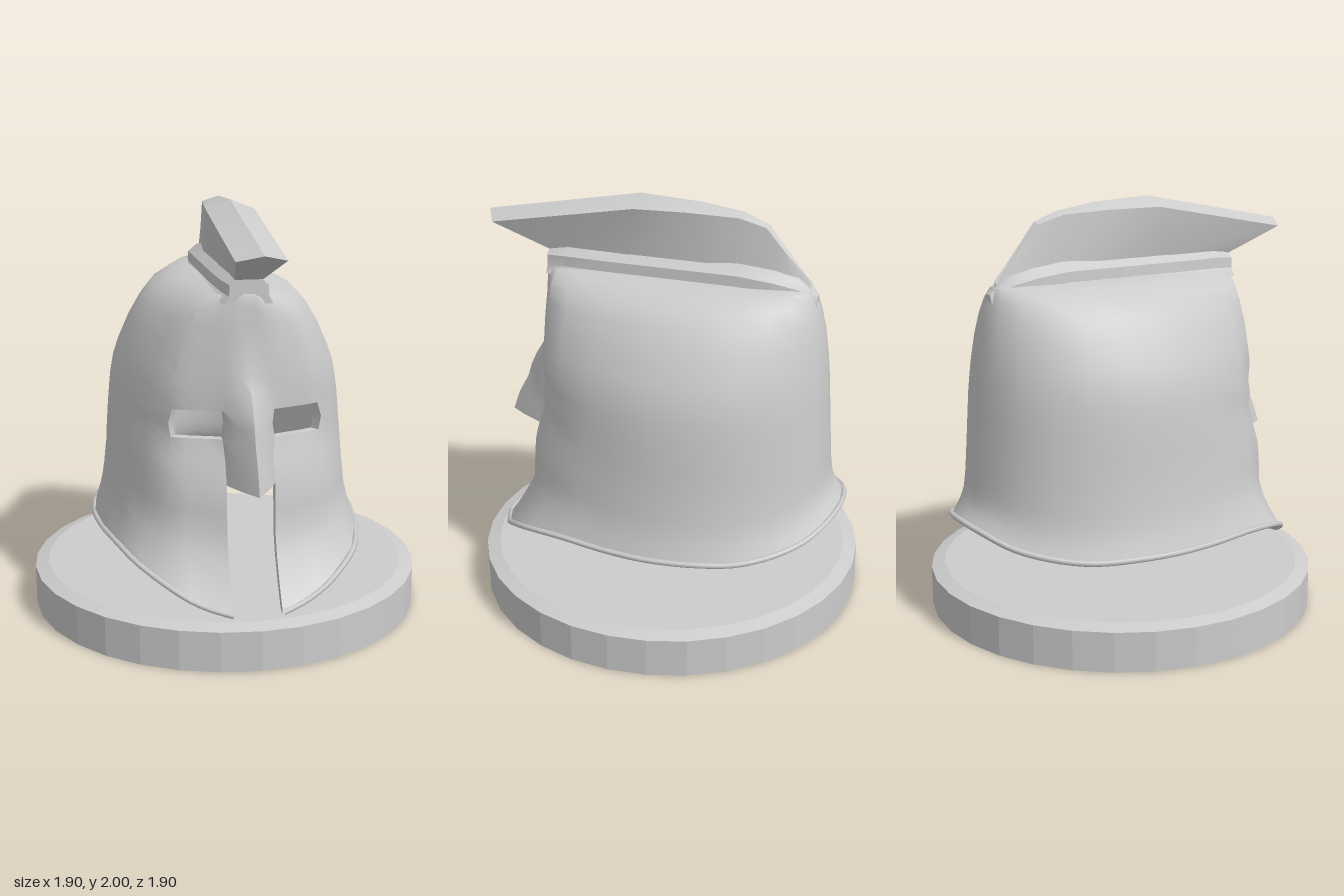
import * as THREE from 'three';
import { toCreasedNormals } from 'three/addons/utils/BufferGeometryUtils.js';

const D = 0.045; // wall thickness
// Shell rows from top to bottom: height, half width, front z, back z, nose depth
const ROWS = [
  [1.64, 0, 0.59, -0.66, 0], [1.635, 0.11, 0.6, -0.67, 0], [1.62, 0.22, 0.605, -0.69, 0],
  [1.57, 0.33, 0.61, -0.71, 0], [1.5, 0.395, 0.61, -0.73, 0], [1.4, 0.455, 0.615, -0.75, 0.005],
  [1.28, 0.51, 0.615, -0.765, 0.02], [1.2, 0.538, 0.615, -0.772, 0.05], [1.11, 0.555, 0.61, -0.78, 0.11],
  [1.045, 0.562, 0.61, -0.783, 0.14], [0.98, 0.568, 0.61, -0.787, 0.16], [0.88, 0.575, 0.635, -0.793, 0.19],
  [0.78, 0.58, 0.67, -0.8, 0.19],
];
// Flared skirt: fraction of the way to the rim, half width, front z, back z
const SKIRT = [[0.23, 0.59, 0.68, -0.803], [0.41, 0.597, 0.685, -0.808], [0.59, 0.607, 0.72, -0.815],
  [0.77, 0.622, 0.775, -0.835], [0.9, 0.637, 0.82, -0.86], [1, 0.648, 0.86, -0.88]];
// Half plan from the front round to the back: x fraction, z fraction, rim height
const PLAN = [[0, 1, 0.22], [0.1, 1, 0.22], [0.195, 1, 0.22], [0.35, 0.965, 0.24], [0.5, 0.925, 0.27],
  [0.63, 0.885, 0.31], [0.78, 0.72, 0.39], [0.9, 0.48, 0.42], [0.97, 0.24, 0.42], [1, 0, 0.42],
  [0.96, -0.28, 0.42], [0.86, -0.52, 0.42], [0.7, -0.72, 0.44], [0.5, -0.87, 0.47], [0.25, -0.97, 0.515],
  [0, -1, 0.53]];
const HALF = PLAN.length - 1, COLS = HALF * 2;
const LIP = ROWS.length - 1, LAST = LIP + SKIRT.length;
const EYE_TOP = 8, EYE_END = 10;

function shellPoint(r, col, inset = 0) {
  const c = (col + COLS) % COLS;
  const k = c <= HALF ? c : COLS - c;
  const [f0, g, rim] = PLAN[k];
  let [y, hw, zf, zb, nose] = r <= LIP ? ROWS[r] : [0.78, ...SKIRT[r - LIP - 1].slice(1), 0];
  if (r > LIP) y += (rim - 0.78) * SKIRT[r - LIP - 1][0];
  else if (r < 5) y -= inset * 0.7;
  // round the eye corners
  let f = f0;
  if (r === EYE_TOP || r === EYE_END) f += k === 5 ? -0.025 : k === 2 ? 0.015 : 0;
  const w = Math.max(0, (k <= 5 ? Math.min(hw, 0.57) : hw) - (k > 2 ? inset : 0));
  const zc = -0.08;
  let z = g > 0 ? zc + g * (zf - inset - zc) : zc + g * (zc - zb - inset);
  z += nose * [1, 0.55][k] || 0;
  return new THREE.Vector3((c <= HALF ? 1 : -1) * f * w, y, z);
}

// Openings: the two eyes and the mouth slit
function solid(r, col) {
  if (r < 0 || r >= LAST) return false;
  const c = (col + COLS) % COLS, k = Math.min(c, COLS - 1 - c);
  if (k < 2 && r >= LIP) return false;
  return !(k >= 2 && k < 5 && r >= EYE_TOP && r < EYE_END);
}

function quadsGeometry(quads, crease) {
  const pos = [];
  for (const [a, b, c, d] of quads)
    for (const p of [a, b, c, a, c, d]) pos.push(p.x, p.y, p.z);
  const g = new THREE.BufferGeometry();
  g.setAttribute('position', new THREE.Float32BufferAttribute(pos, 3));
  return toCreasedNormals(g, crease);
}

function shellGeometry() {
  const quads = [];
  for (let r = 0; r < LAST; r++) for (let c = 0; c < COLS; c++) {
    if (!solid(r, c)) continue;
    const ids = [[r, c], [r + 1, c], [r + 1, c + 1], [r, c + 1]];
    const out = ids.map(([i, j]) => shellPoint(i, j));
    const inn = ids.map(([i, j]) => shellPoint(i, j, D));
    quads.push(out, [...inn].reverse());
    // wall across the thickness at every open edge
    [[r, c - 1], [r + 1, c], [r, c + 1], [r - 1, c]].forEach(([i, j], e) => {
      if (i < 0 || solid(i, j)) return;
      const n = (e + 1) % 4;
      quads.push([out[n], out[e], inn[e], inn[n]]);
    });
  }
  return quadsGeometry(quads, 0.65);
}

// Joins mirrored half sections, each a list of [x, y, z] from the bottom up
function loft(sections, crease) {
  const rings = sections.map((s) => {
    const left = s.map((p) => new THREE.Vector3(...p));
    const right = s.map(([x, y, z]) => new THREE.Vector3(-x, y, z)).reverse();
    return [...left, ...right];
  });
  const quads = [], n = rings[0].length;
  for (let i = 0; i + 1 < rings.length; i++) for (let j = 0; j < n; j++) {
    const k = (j + 1) % n;
    quads.push([rings[i][j], rings[i + 1][j], rings[i + 1][k], rings[i][k]]);
  }
  const first = rings[0], last = rings[rings.length - 1];
  for (let j = 0; j < n / 2 - 1; j++) {
    quads.push([first[j], first[j + 1], first[n - 2 - j], first[n - 1 - j]]);
    quads.push([last[n - 1 - j], last[n - 2 - j], last[j + 1], last[j]]);
  }
  return quadsGeometry(quads, crease);
}

export function createModel() {
  const group = new THREE.Group();
  const steel = new THREE.MeshStandardMaterial({ color: 0xcccccc, side: THREE.DoubleSide });
  steel.name = 'light grey';
  const add = (name, geometry, y = 0) => {
    const mesh = new THREE.Mesh(geometry, steel);
    mesh.name = name;
    mesh.position.y = y;
    group.add(mesh);
  };

  // Round stand with a bevelled top edge
  add('standBase', toCreasedNormals(new THREE.CylinderGeometry(0.95, 0.95, 0.19, 32), 0.1), 0.095);
  add('standBevel', toCreasedNormals(new THREE.CylinderGeometry(0.885, 0.95, 0.02, 32), 0.1), 0.2);

  // Helmet shell with eye holes, nose guard and cheek guards
  add('helmetShell', shellGeometry());

  // Rolled lip along the lower edge
  const edge = [];
  for (let c = 2; c <= COLS - 2; c++) edge.push(shellPoint(LAST, c, 0.005).add(new THREE.Vector3(0, 0.008, 0)));
  add('rimLip', new THREE.TubeGeometry(new THREE.CatmullRomCurve3(edge), 90, 0.014, 6));

  // Ridge holding the crest: z, foot half width, width scale, drop
  const ridge = [[0.6, 0.11, 0.75, 0.01], [0.5, 0.15, 0.95, 0], [0.3, 0.18, 1, 0], [0, 0.19, 1, 0],
    [-0.35, 0.18, 1, 0], [-0.5, 0.14, 0.85, 0.02], [-0.62, 0.1, 0.6, 0.05], [-0.71, 0.05, 0.3, 0.13]];
  add('crestRidge', loft(ridge.map(([z, foot, s, drop]) => [
    [foot, 1.6 - drop, z], [0.118 * s, 1.635 - drop, z], [0.115 * s, 1.685 - drop, z], [0.06 * s, 1.725 - drop, z],
  ]), 0.5));

  // Crest: bottom, shoulder and top point of each section
  add('crest', loft([
    [[0.06, 1.69, 0.58], [0.112, 1.82, 0.87], [0, 1.85, 0.93]],
    [[0.07, 1.7, 0.2], [0.115, 1.955, 0.15], [0, 2, 0.15]],
    [[0.07, 1.7, -0.2], [0.085, 1.953, -0.1], [0, 1.985, -0.15]],
    [[0.05, 1.68, -0.4], [0.05, 1.94, -0.34], [0, 1.952, -0.36]],
    [[0.04, 1.66, -0.5], [0.027, 1.9, -0.46], [0, 1.91, -0.47]],
    [[0.03, 1.64, -0.6], [0.016, 1.79, -0.55], [0, 1.8, -0.555]],
    [[0.02, 1.59, -0.7], [0.01, 1.64, -0.67], [0, 1.65, -0.68]],
  ], 0.3));

  return group;
}
